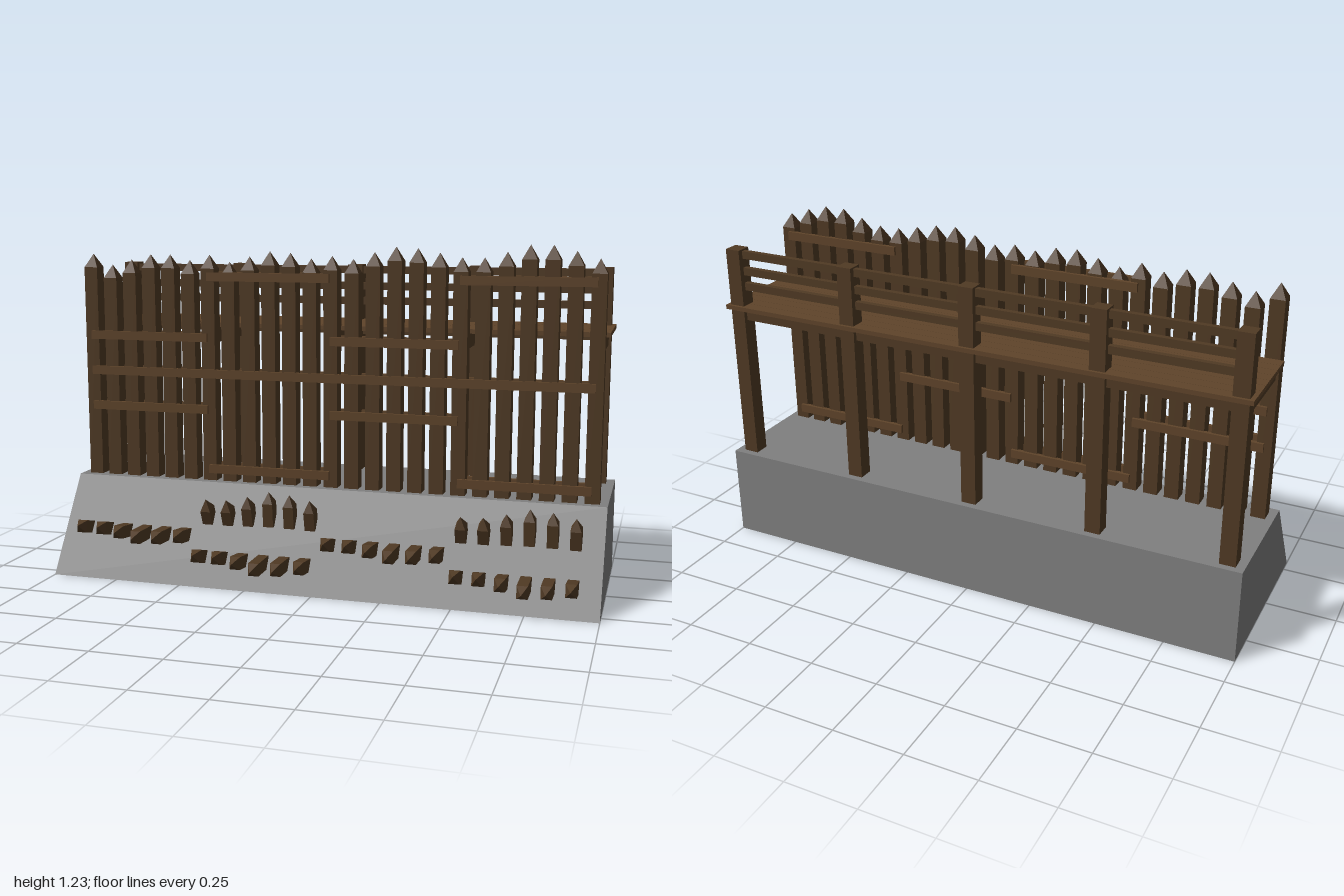
import * as THREE from 'three';
import { mergeGeometries } from 'three/addons/utils/BufferGeometryUtils.js';

const darkWood = new THREE.MeshStandardMaterial({ color: 0x503a24, flatShading: true });
const lightWood = new THREE.MeshStandardMaterial({ color: 0x5f442a, flatShading: true });
const stone = new THREE.MeshStandardMaterial({ color: 0x808080, flatShading: true });

const BASE_TOP = 0.34;
const slopeZ = (y) => 0.3 - (0.225 * y) / BASE_TOP;

// Square stake standing on y = 0 with a four-sided point
function stakeGeometry(width, depth, height, point) {
  const shaft = new THREE.BoxGeometry(width, height - point, depth);
  shaft.translate(0, (height - point) / 2, 0);
  const tip = new THREE.ConeGeometry(Math.SQRT1_2, point, 4, 1);
  tip.rotateY(Math.PI / 4);
  tip.scale(width, 1, depth);
  tip.translate(0, height - point / 2, 0);
  return mergeGeometries([shaft, tip]);
}

export function createModel() {
  const model = new THREE.Group();

  function section(name) {
    const group = new THREE.Group();
    group.name = name;
    model.add(group);
    return group;
  }
  // Box given by its limits on each axis
  function box(parent, name, [x0, x1], [y0, y1], [z0, z1], material) {
    const mesh = new THREE.Mesh(new THREE.BoxGeometry(x1 - x0, y1 - y0, z1 - z0), material);
    mesh.position.set((x0 + x1) / 2, (y0 + y1) / 2, (z0 + z1) / 2);
    mesh.name = name;
    parent.add(mesh);
  }

  // Earthwork with a sloping front
  const profile = new THREE.Shape([[-0.3, 0], [0.382, 0], [0.382, BASE_TOP], [-0.075, BASE_TOP]]
    .map(([x, y]) => new THREE.Vector2(x, y)));
  const bankGeometry = new THREE.ExtrudeGeometry(profile, { depth: 2, bevelEnabled: false });
  bankGeometry.translate(0, 0, -1);
  bankGeometry.rotateY(Math.PI / 2);
  const bank = new THREE.Mesh(bankGeometry, stone);
  bank.name = 'embankment';
  model.add(bank);

  // Row of pointed stakes with uneven tops
  const palisade = section('palisade');
  const tops = [1.185, 1.145, 1.165, 1.185, 1.185, 1.165, 1.185, 1.16, 1.18, 1.2, 1.195, 1.175, 1.185,
    1.175, 1.2, 1.22, 1.215, 1.2, 1.185, 1.185, 1.205, 1.23, 1.23, 1.21, 1.185];
  tops.forEach((top, i) => {
    const stake = new THREE.Mesh(stakeGeometry(0.052, 0.055, top - BASE_TOP + 0.01, 0.05), darkWood);
    stake.position.set(-0.945 + i * 0.07875, BASE_TOP - 0.01, 0.017);
    stake.name = 'palisadeStake';
    palisade.add(stake);
  });

  // Staggered rails on both faces of the palisade
  const rails = section('palisadeRails');
  const rail = (x0, x1, y) => {
    box(rails, 'frontRail', [x0, x1], [y - 0.016, y + 0.016], [0.04, 0.055], lightWood);
    box(rails, 'backRail', [x0, x1], [y - 0.016, y + 0.016], [-0.021, -0.005], lightWood);
  };
  rail(-0.945, 0.945, 0.745);
  for (const x of [-0.945, 0]) {
    for (const y of [0.88, 0.61]) rail(x, x + 0.47, y);
    for (const y of [1.106, 0.385]) rail(x + 0.472, x + 0.942, y);
  }

  // Closely laid walkway planks
  const walkway = section('walkway');
  for (let i = 0; i < 8; i++) {
    const z = -0.01 - i * 0.0449;
    box(walkway, 'plank', [-0.985, 0.985], [0.916, 0.932], [z - 0.0437, z], lightWood);
  }

  // Rear posts, cross beams and the rails between posts
  const frame = section('walkwayFrame');
  for (let i = 0; i < 5; i++) {
    const x = -0.942 + i * 0.471;
    box(frame, 'post', [x - 0.028, x + 0.028], [BASE_TOP - 0.01, 1.142], [-0.357, -0.301], darkWood);
    box(frame, 'crossBeam', [x - 0.02, x + 0.02], [0.86, 0.916], [-0.301, -0.009], darkWood);
  }
  for (const y of [1.122, 1.06, 1.003]) {
    box(frame, 'guardRail', [-0.942, 0.942], [y - 0.014, y + 0.014], [-0.338, -0.318], darkWood);
  }
  box(frame, 'ledger', [-0.942, 0.942], [0.875, 0.916], [-0.342, -0.314], darkWood);

  // Sharpened spikes set into the slope in groups of six;
  // each spike lies between a short tip and a long tip, given as [y, z]
  const spikes = section('slopeSpikes');
  const growth = [0.05, 0.1, 0.5, 1, 0.85, 0.5];
  const up = new THREE.Vector3(0, 1, 0);
  function spikeGroup(startX, baseY, shortTip, longTip) {
    growth.forEach((t, i) => {
      const x = startX + i * 0.079;
      const root = new THREE.Vector3(x, baseY, slopeZ(baseY) - 0.01);
      const tip = new THREE.Vector3(x, THREE.MathUtils.lerp(shortTip[0], longTip[0], t),
        THREE.MathUtils.lerp(shortTip[1], longTip[1], t));
      const axis = tip.clone().sub(root);
      const mesh = new THREE.Mesh(stakeGeometry(0.038, 0.046, axis.length(), 0.04), darkWood);
      mesh.position.copy(root);
      mesh.quaternion.setFromUnitVectors(up, axis.normalize());
      mesh.name = 'spike';
      spikes.add(mesh);
    });
  }
  for (const x of [-0.91, 0.04]) spikeGroup(x, 0.162, [0.19, 0.28], [0.165, 0.33]);
  for (const x of [-0.435, 0.51]) {
    spikeGroup(x, 0.095, [0.125, 0.325], [0.094, 0.378]);
    spikeGroup(x, 0.21, [0.297, 0.19], [0.337, 0.165]);
  }
  return model;
}
